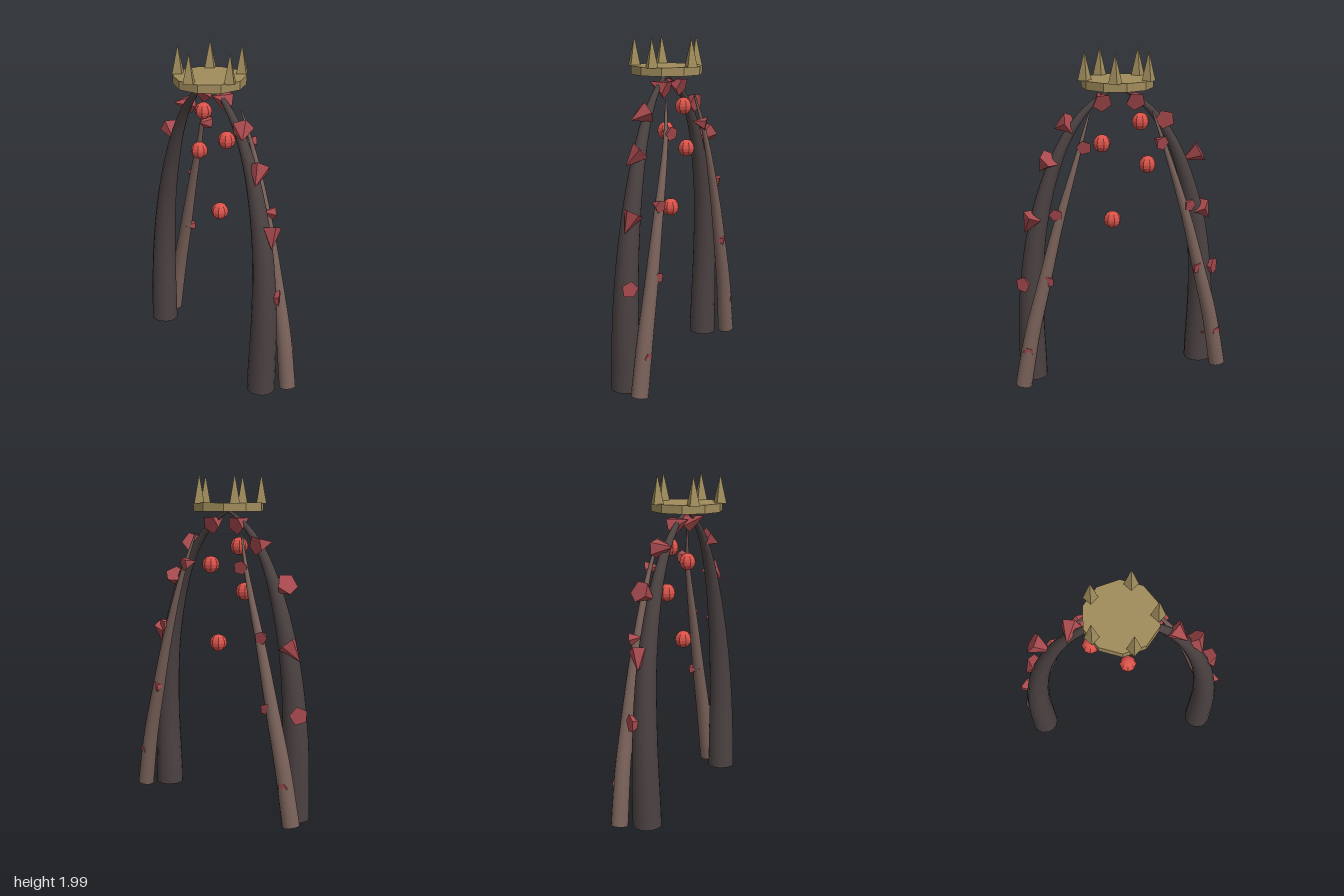
import * as THREE from 'three';

const V = (x, y, z) => new THREE.Vector3(x, y, z);
const mat = (color, flatShading = false) => new THREE.MeshStandardMaterial({ color, flatShading });

// Tube along a curve whose radius shrinks from r0 to r1, with a closed foot
function taperedLimb(name, points, r0, r1, material) {
  const curve = new THREE.CatmullRomCurve3(points);
  const rings = 32, sides = 14;
  const geo = new THREE.TubeGeometry(curve, rings, 1, sides, false);
  const pos = geo.attributes.position, v = V(0, 0, 0);
  for (let i = 0; i <= rings; i++) {
    const t = i / rings, c = curve.getPointAt(t);
    const r = r1 + (r0 - r1) * (1 - Math.pow(t, 1.45));
    for (let j = 0; j <= sides; j++) {
      const k = i * (sides + 1) + j;
      v.fromBufferAttribute(pos, k).sub(c).multiplyScalar(r).add(c);
      pos.setXYZ(k, v.x, v.y, v.z);
    }
  }
  const group = new THREE.Group();
  group.name = name;
  const shaft = new THREE.Mesh(geo, material);
  shaft.name = name + 'Shaft';
  const foot = new THREE.Mesh(new THREE.CircleGeometry(r0, sides), material);
  foot.name = name + 'Foot';
  foot.position.copy(points[0]);
  foot.quaternion.setFromUnitVectors(V(0, 0, 1), curve.getTangentAt(0).negate());
  group.add(shaft, foot);
  return group;
}

// Five-sided shard: flat base centred at `base`, tip pointing along `dir`
function shard(name, base, dir, r, h, material) {
  const geo = new THREE.ConeGeometry(r, h, 5);
  geo.translate(0, h / 2, 0);
  const mesh = new THREE.Mesh(geo, material);
  mesh.name = name;
  mesh.position.set(...base);
  mesh.quaternion.setFromUnitVectors(V(0, 1, 0), V(...dir).normalize());
  return mesh;
}

export function createModel() {
  const model = new THREE.Group();
  const darkHorn = mat(0x4c4242), paleHorn = mat(0x7a625a);
  const crystal = mat(0xa84a4e, true), ember = mat(0xd9534a, true), brass = mat(0xa08c5c, true);

  // Large arch limbs and slender rear limbs, mirrored
  for (const s of [1, -1]) {
    const side = s > 0 ? 'left' : 'right';
    model.add(taperedLimb(side + 'ArchLimb', [
      V(s * 0.535, 0.015, 0), V(s * 0.537, 0.55, -0.008), V(s * 0.485, 1.0, -0.015),
      V(s * 0.36, 1.4, -0.015), V(s * 0.24, 1.6, -0.01), V(s * 0.11, 1.725, -0.005), V(0, 1.785, 0),
    ], 0.085, 0.008, darkHorn));
    model.add(taperedLimb(side + 'RearLimb', [
      V(s * 0.62, 0.02, -0.137), V(s * 0.56, 0.35, -0.143), V(s * 0.485, 0.65, -0.144),
      V(s * 0.395, 1.0, -0.14), V(s * 0.272, 1.4, -0.125), V(s * 0.19, 1.65, -0.09),
    ], 0.05, 0.005, paleHorn));
  }

  // Shards on the arch limbs: base centre, tip direction, radius, height
  const leftShards = [
    [[0.1, 1.7, -0.05], [0.05, 0.4, 1], 0.06, 0.12],
    [[0.29, 1.59, -0.02], [0.65, -0.35, 0.5], 0.066, 0.11],
    [[0.42, 1.39, -0.05], [0.05, -0.09, 0.075], 0.063, 0.125],
    [[0.525, 1.055, -0.055], [0.045, -0.105, 0.03], 0.06, 0.125],
    [[0.6, 0.635, -0.07], [-0.7, 0, 0.7], 0.05, 0.09],
    [[0.54, 0.22, -0.06], [1, 0, 0.3], 0.036, 0.06],
  ];
  const rightShards = [
    [[-0.1, 1.7, -0.05], [-0.05, 0.4, 1], 0.06, 0.12],
    [[-0.275, 1.59, -0.065], [-0.025, 0.02, 0.13], 0.06, 0.125],
    [[-0.505, 1.385, -0.05], [0.85, -0.5, 0.3], 0.066, 0.125],
    [[-0.51, 1.045, -0.055], [-0.07, -0.095, 0.03], 0.06, 0.125],
    [[-0.61, 0.645, -0.065], [0.75, 0, 0.65], 0.055, 0.1],
    [[-0.54, 0.22, -0.06], [0, -1, 0.2], 0.036, 0.06],
  ];
  for (const a of leftShards) model.add(shard('leftArchShard', ...a, crystal));
  for (const a of rightShards) model.add(shard('rightArchShard', ...a, crystal));

  // Small shards on the rear limbs
  const rearShards = [
    [0.235, 1.465, -0.15, 0.045], [0.41, 1.08, -0.167, 0.04],
    [0.465, 0.68, -0.182, 0.037], [0.595, 0.25, -0.184, 0.03],
  ];
  for (const s of [1, -1]) for (const [x, y, z, r] of rearShards)
    model.add(shard('rearShard', [s * x, y, z], [-s * 0.35, 0.2, 1], r, r * 1.9, crystal));

  // Floating orbs under the arch
  for (const [x, y] of [[-0.13, 1.582], [0.105, 1.463], [-0.175, 1.32], [0.042, 0.993]]) {
    const orb = new THREE.Mesh(new THREE.SphereGeometry(0.052, 8, 8), ember);
    orb.name = 'orb';
    orb.position.set(x, y, -0.046);
    model.add(orb);
  }

  // Ten-sided crown plate with five spikes
  const plate = new THREE.Mesh(new THREE.CylinderGeometry(0.212, 0.212, 0.05, 10), brass);
  plate.name = 'crownPlate';
  plate.position.y = 1.807;
  model.add(plate);
  for (let i = 0; i < 5; i++) {
    const a = i * Math.PI * 2 / 5;
    const spike = new THREE.Mesh(new THREE.ConeGeometry(0.042, 0.172, 4), brass);
    spike.name = 'crownSpike';
    spike.position.set(0.194 * Math.cos(a), 1.914, 0.194 * Math.sin(a));
    model.add(spike);
  }
  return model;
}
